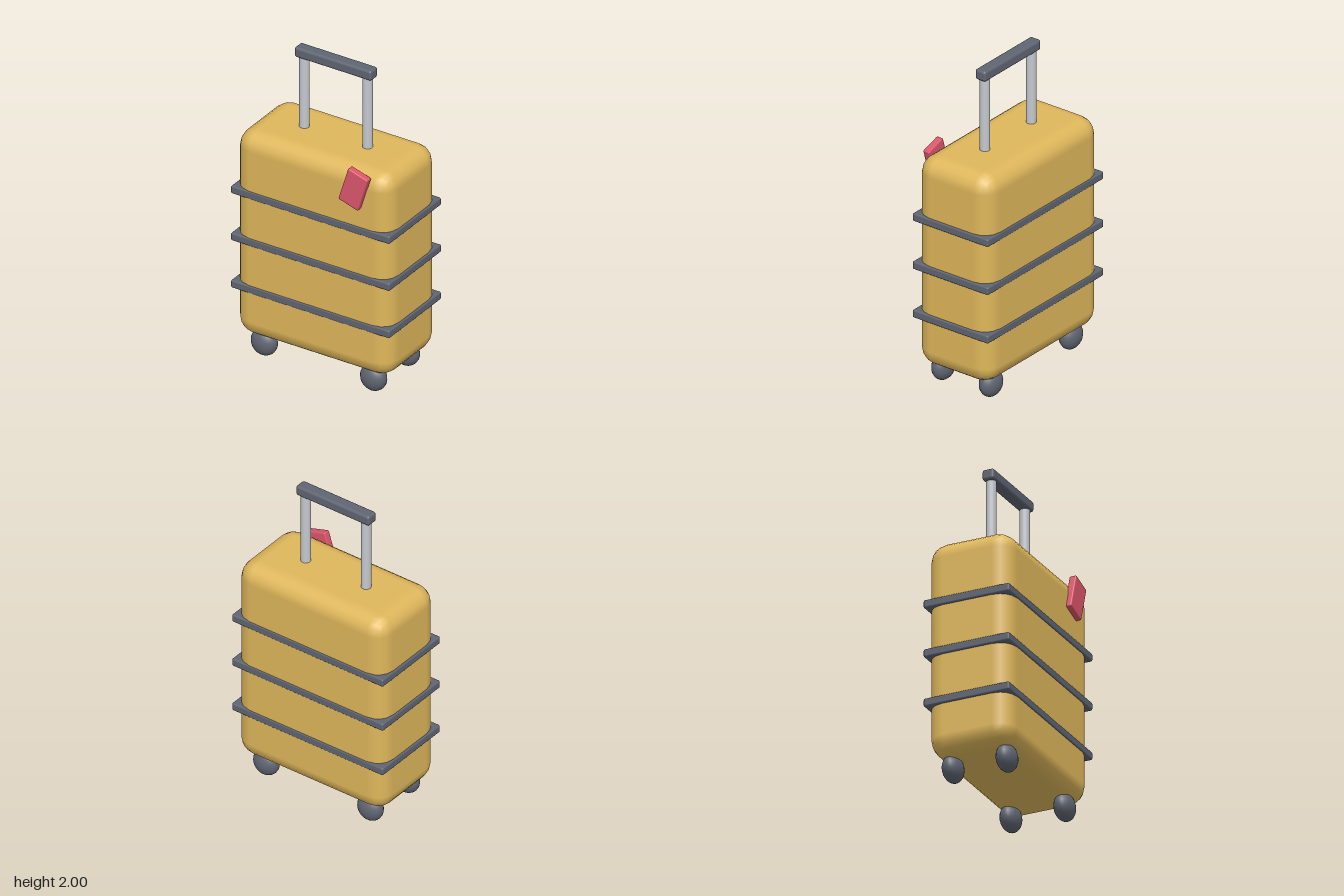
import * as THREE from 'three';
import { RoundedBoxGeometry } from 'three/addons/geometries/RoundedBoxGeometry.js';

const material = (name, color) => {
  const m = new THREE.MeshStandardMaterial({ color });
  m.name = name;
  return m;
};

export function createModel() {
  const group = new THREE.Group();
  const yellow = material('mustard shell', 0xdfb75b);
  const slate = material('slate trim', 0x5f6572);
  const silver = material('silver poles', 0xc4c8ce);
  const red = material('red tag', 0xdb566c);
  const Z = -0.015; // centre of the case in depth

  const add = (name, geometry, mat, x, y, z) => {
    const mesh = new THREE.Mesh(geometry, mat);
    mesh.name = name;
    mesh.position.set(x, y, z);
    group.add(mesh);
    return mesh;
  };

  // Softly rounded shell
  add('shell', new RoundedBoxGeometry(1.062, 1.342, 0.536, 2, 0.11), yellow, 0, 0.805, Z);

  // Three bands around the shell
  const bandGeometry = new RoundedBoxGeometry(1.084, 0.05, 0.548, 2, 0.01);
  for (const y of [0.463, 0.775, 1.085]) add('band', bandGeometry, slate, 0, y, Z);

  // Telescopic handle
  add('handleGrip', new RoundedBoxGeometry(0.526, 0.066, 0.076, 2, 0.016), slate, 0, 1.967, Z);
  const poleGeometry = new THREE.CylinderGeometry(0.03, 0.03, 0.54, 20);
  for (const x of [-0.216, 0.216]) add('handlePole', poleGeometry, silver, x, 1.68, Z);

  // Four flattened ball wheels
  const wheelGeometry = new THREE.SphereGeometry(0.085, 20, 14).scale(1, 1, 0.71);
  for (const x of [-0.373, 0.373]) {
    for (const z of [-0.172, 0.172]) add('wheel', wheelGeometry, slate, x, 0.09, z + Z + 0.006);
  }

  // Tilted luggage tag
  const tag = add('luggageTag', new RoundedBoxGeometry(0.14, 0.23, 0.045, 2, 0.008), red, 0.309, 1.362, 0.263);
  tag.rotation.z = -0.3;

  return group;
}
